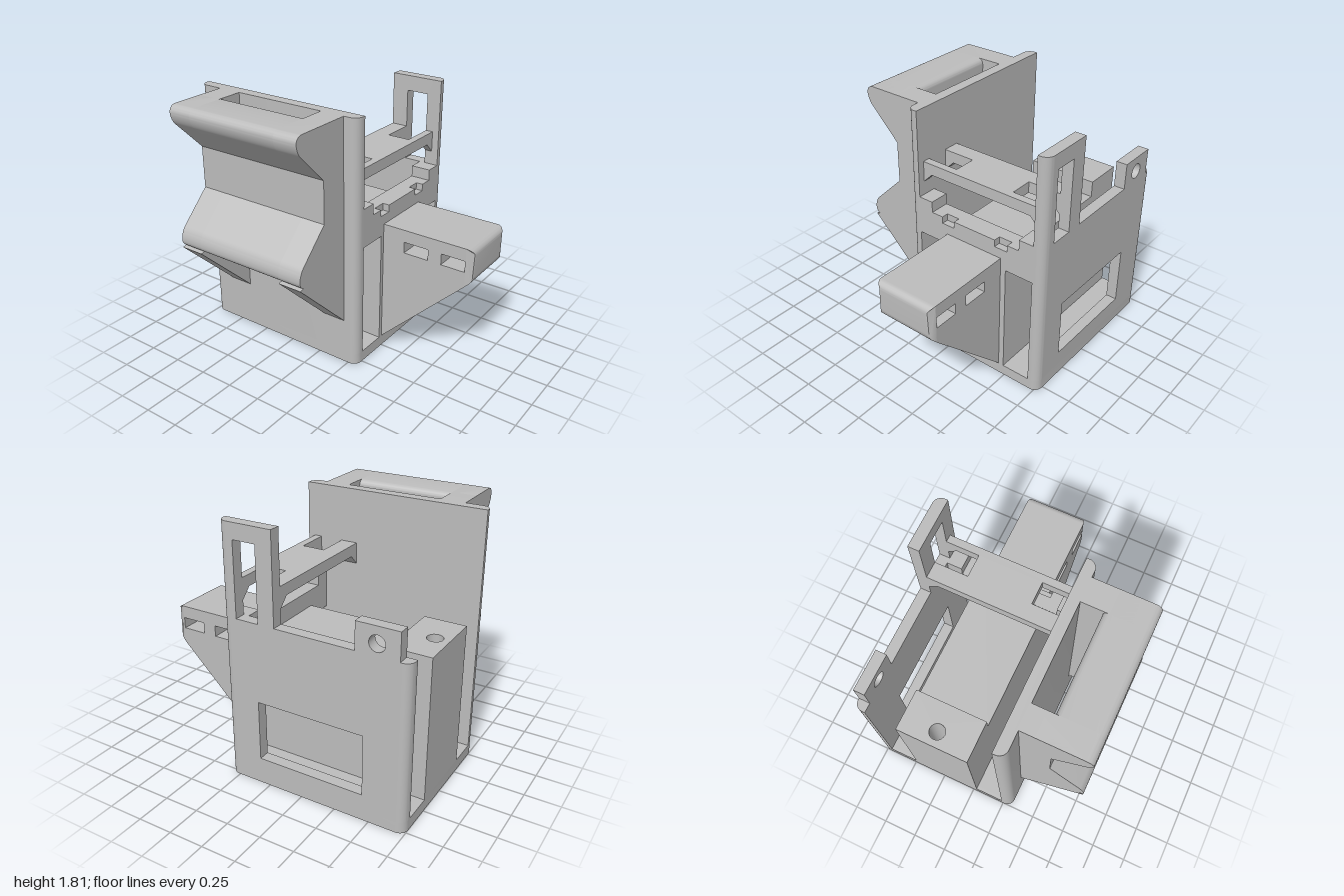
import * as THREE from 'three';
import { toCreasedNormals } from 'three/addons/utils/BufferGeometryUtils.js';

const grey = new THREE.MeshStandardMaterial({ color: 0xbcbcbc });
grey.name = 'grey plastic';

// Closed shape from [x, y, cornerRadius] points
function outline(pts) {
  const s = new THREE.Shape();
  pts.forEach(([x, y, r = 0], i) => {
    const toward = ([px, py]) => {
      const d = Math.hypot(px - x, py - y);
      return [x + ((px - x) * r) / d, y + ((py - y) * r) / d];
    };
    const a = toward(pts[(i + pts.length - 1) % pts.length]);
    const b = toward(pts[(i + 1) % pts.length]);
    if (i === 0) s.moveTo(...a); else s.lineTo(...a);
    if (r) {
      const k = 0.552; // circular-looking fillet
      s.bezierCurveTo(a[0] + (x - a[0]) * k, a[1] + (y - a[1]) * k,
        b[0] + (x - b[0]) * k, b[1] + (y - b[1]) * k, ...b);
    }
  });
  s.closePath();
  return s;
}
const rect = (x0, y0, x1, y1) => outline([[x0, y0], [x1, y0], [x1, y1], [x0, y1]]);
const circle = (x, y, r) => new THREE.Path().absarc(x, y, r, 0, Math.PI * 2, true);

function extrude(shape, depth) {
  return new THREE.ExtrudeGeometry(shape, { depth, bevelEnabled: false, curveSegments: 10 });
}

export function createModel() {
  const model = new THREE.Group();
  model.name = 'bracketHousing';

  const add = (name, geo) => {
    const m = new THREE.Mesh(toCreasedNormals(geo, 0.5), grey);
    m.name = name;
    model.add(m);
  };
  // Prisms along each axis; profiles are (z, y), (x, -z) and (x, y)
  const prismX = (name, s, x0, x1) => add(name, extrude(s, x1 - x0).rotateY(-Math.PI / 2).translate(x1, 0, 0));
  const prismY = (name, s, y0, y1) => add(name, extrude(s, y1 - y0).rotateX(-Math.PI / 2).translate(0, y0, 0));
  const prismZ = (name, s, z0, z1) => add(name, extrude(s, z1 - z0).translate(0, 0, z0));
  const box = (name, x0, x1, y0, y1, z0, z1) =>
    add(name, new THREE.BoxGeometry(x1 - x0, y1 - y0, z1 - z0)
      .translate((x0 + x1) / 2, (y0 + y1) / 2, (z0 + z1) / 2));

  const R = 0.06;

  // Floor and front wall
  prismY('basePlate', outline([[-1, -0.32, R], [0.32, -0.32, R], [0.32, 0.78, R], [-1, 0.78, R]]), 0, 0.08);
  prismY('frontWall', outline([[-1, -0.32, R], [0.32, -0.32, R], [0.32, -0.24], [-1, -0.24]]), 0.08, 1.81);

  // Back wall with slotted tower, drilled tab and window
  const back = outline([[-0.94, 0.08], [0.26, 0.08], [0.26, 1.81], [-0.07, 1.81], [-0.07, 1.18],
    [-0.635, 1.18], [-0.635, 1.37], [-0.93, 1.37], [-0.93, 1.18], [-0.94, 1.18]]);
  back.holes.push(rect(-0.7, 0.19, 0.07, 0.62), rect(0.05, 1.18, 0.215, 1.7), circle(-0.78, 1.26, 0.055));
  prismZ('backWall', back, -0.78, -0.7);
  prismY('backCornerTall', outline([[0.26, 0.7], [0.32, 0.7], [0.32, 0.78, R - 0.001], [0.26, 0.78]]), 0.08, 1.81);
  prismY('backCornerShort', outline([[-1, 0.7], [-0.94, 0.7], [-0.94, 0.78], [-1, 0.78, R - 0.001]]), 0.08, 1.18);

  // Central box and its drilled end column
  box('centralBox', -0.705, 0.32, 0.08, 0.98, -0.49, 0.03);
  const column = rect(-1, -0.03, -0.705, 0.49);
  column.holes.push(circle(-0.9, 0.235, 0.055));
  prismY('endColumn', column, 0.08, 1.1);

  // Crossbar with raised ends and shallow notches
  const bar = (name, x0, x1, notched) => {
    const notch = (z) => [[z - 0.05, 1.1], [z - 0.05, 1.05], [z + 0.05, 1.05], [z + 0.05, 1.1]];
    prismX(name, outline([[-0.7, 0.9], [0.24, 0.9], [0.24, 1.18], [0.13, 1.18], [0.13, 1.1],
      ...(notched ? [...notch(-0.01).reverse(), ...notch(-0.45).reverse()] : []),
      [-0.59, 1.1], [-0.59, 1.18], [-0.7, 1.18]]), x0, x1);
  };
  bar('crossbar', 0.175, 0.27, false);
  bar('crossbarFace', 0.27, 0.32, true);

  // Bridge between wall and tower, open at both ends
  const bridge = (name, x0, x1) =>
    prismX(name, outline([[-0.7, 1.28], [-0.63, 1.35], [0.17, 1.35], [0.24, 1.28], [0.24, 1.43], [-0.7, 1.43]]), x0, x1);
  bridge('bridgeInnerRail', -0.07, 0.05);
  bridge('bridgeOuterRail', 0.215, 0.27);
  box('bridgeCentre', 0.05, 0.215, 1.35, 1.43, -0.46, 0);

  // Side arm with two slots and a rounded, tapering tip
  const arm = outline([[0.32, 0.08], [0.95, 0.7], [0.95, 0.98], [0.32, 0.98]]);
  arm.holes.push(rect(0.485, 0.81, 0.67, 0.89), rect(0.77, 0.81, 0.945, 0.89));
  prismZ('sideArm', arm, -0.45, 0);
  const tip = extrude(outline([[0.95, 0.7], [1, 0.75, 0.03], [1, 0.98, 0.049], [0.95, 0.98]]), 0.45).translate(0, 0, -0.45);
  const p = tip.attributes.position;
  for (let i = 0; i < p.count; i++) {
    const t = Math.min(1, Math.max(0, (p.getX(i) - 0.95) / 0.05));
    const inset = 0.04 * (1 - Math.sqrt(1 - t * t));
    p.setZ(i, p.getZ(i) > -0.2 ? -inset : -0.45 + inset);
  }
  tip.computeVertexNormals();
  add('sideArmTip', tip);

  // Front holder: two cheeks with sloping legs, and the grooved bar between them
  const cheek = outline([[0.32, 0.335], [0.785, 0.79], [0.74, 0.8], [0.53, 1.155], [0.53, 1.455],
    [0.785, 1.71, 0.05], [0.785, 1.81, 0.05], [0.32, 1.81]]);
  const grooved = outline([[0.47, 0.795], [0.785, 0.795, 0.05], [0.785, 0.905, 0.05], [0.53, 1.155],
    [0.53, 1.455], [0.785, 1.71, 0.05], [0.785, 1.81, 0.05], [0.47, 1.81, 0.04]]);
  for (const [x0, x1] of [[-0.82, -0.645], [0.04, 0.215]]) {
    prismX('holderCheek', cheek, x0, x1);
    prismX('holderCheekLip', grooved, x0, x1);
  }
  prismX('holderBar', grooved, -0.645, 0.04);

  return model;
}
